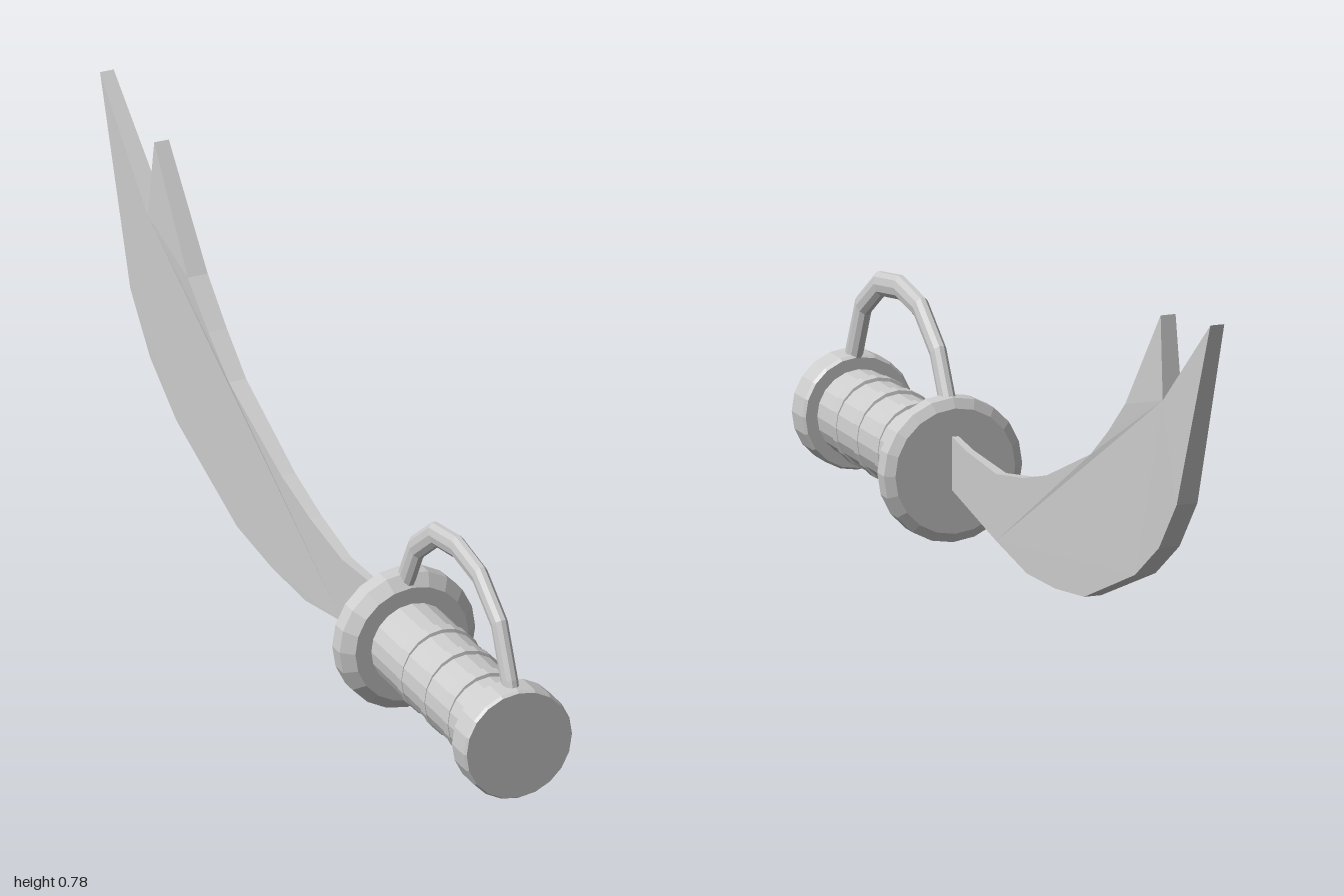
import * as THREE from 'three';

const AXIS_Y = 0.15; // height of the hilt axis

export function createModel() {
  const model = new THREE.Group();
  const mat = new THREE.MeshStandardMaterial({ color: 0xcccccc, flatShading: true });

  const add = (name, geometry) => {
    const mesh = new THREE.Mesh(geometry, mat);
    mesh.name = name;
    model.add(mesh);
    return mesh;
  };

  // Turned hilt part: profile of [radius, z] pairs running from back to front
  const turned = (name, profile) => {
    const geo = new THREE.LatheGeometry(profile.map(([r, z]) => new THREE.Vector2(r, z)), 20);
    geo.rotateX(Math.PI / 2);
    const mesh = add(name, geo);
    mesh.position.y = AXIS_Y;
    return mesh;
  };

  turned('pommel', [[0, 0.93], [0.115, 0.93], [0.12, 0.937], [0.12, 0.993], [0.116, 1], [0, 1]]);
  turned('grip', [[0.09, 0.46], [0.09, 0.94]]);
  turned('guard', [[0, 0.41], [0.13, 0.41], [0.15, 0.422], [0.15, 0.458], [0.125, 0.48], [0, 0.48]]);

  // Raised grip bands, slightly taller than wide
  for (const z of [0.84, 0.727, 0.615]) {
    const band = turned('gripBand', [
      [0.088, z - 0.015], [0.097, z - 0.013], [0.097, z + 0.013], [0.088, z + 0.015],
    ]);
    band.scale.x = 0.94;
  }

  // Knuckle bow: faceted arch with an oval section
  const bow = new THREE.CatmullRomCurve3([
    [0.965, 0.235], [0.952, 0.275], [0.904, 0.38], [0.81, 0.446], [0.703, 0.463],
    [0.596, 0.446], [0.503, 0.376], [0.452, 0.285], [0.445, 0.25],
  ].map(([z, y]) => new THREE.Vector3(0, y, z)));
  bow.getPointAt = bow.getPoint; // place rings exactly on the points
  bow.getTangentAt = bow.getTangent;
  const bowGeo = new THREE.TubeGeometry(bow, 8, 0.026, 10);
  bowGeo.scale(0.62, 1, 1);
  add('knuckleBow', bowGeo);

  // Blade outline as [z, y]: spine, notched tip, then cutting edge
  const outline = [
    [0.43, 0.225], [0.33, 0.211], [0.163, 0.203], [0.013, 0.23], [-0.12, 0.267],
    [-0.366, 0.369], [-0.463, 0.439], [-0.559, 0.519], [-0.735, 0.743], [-0.757, 0.572],
    [-1, 0.784], [-0.837, 0.374], [-0.741, 0.262], [-0.612, 0.176], [-0.329, 0.064],
    [-0.168, 0.043], [-0.008, 0.037], [0.163, 0.064], [0.43, 0.115],
  ];
  const shape = new THREE.Shape(outline.map(([z, y]) => new THREE.Vector2(z, y)));
  const blade = new THREE.ExtrudeGeometry(shape, { depth: 2, bevelEnabled: false });
  blade.translate(0, 0, -1);
  blade.rotateY(-Math.PI / 2);
  // Thickness grows away from the guard and shrinks towards the points
  const p = blade.attributes.position;
  for (let i = 0; i < p.count; i++) {
    const grow = 0.007 + (0.41 - p.getZ(i)) * 0.0156;
    const shrink = 0.0225 - Math.max(0, p.getY(i) - 0.5) * 0.026;
    p.setX(i, Math.sign(p.getX(i)) * Math.min(grow, shrink));
  }
  blade.computeVertexNormals();
  add('blade', blade);

  return model;
}
